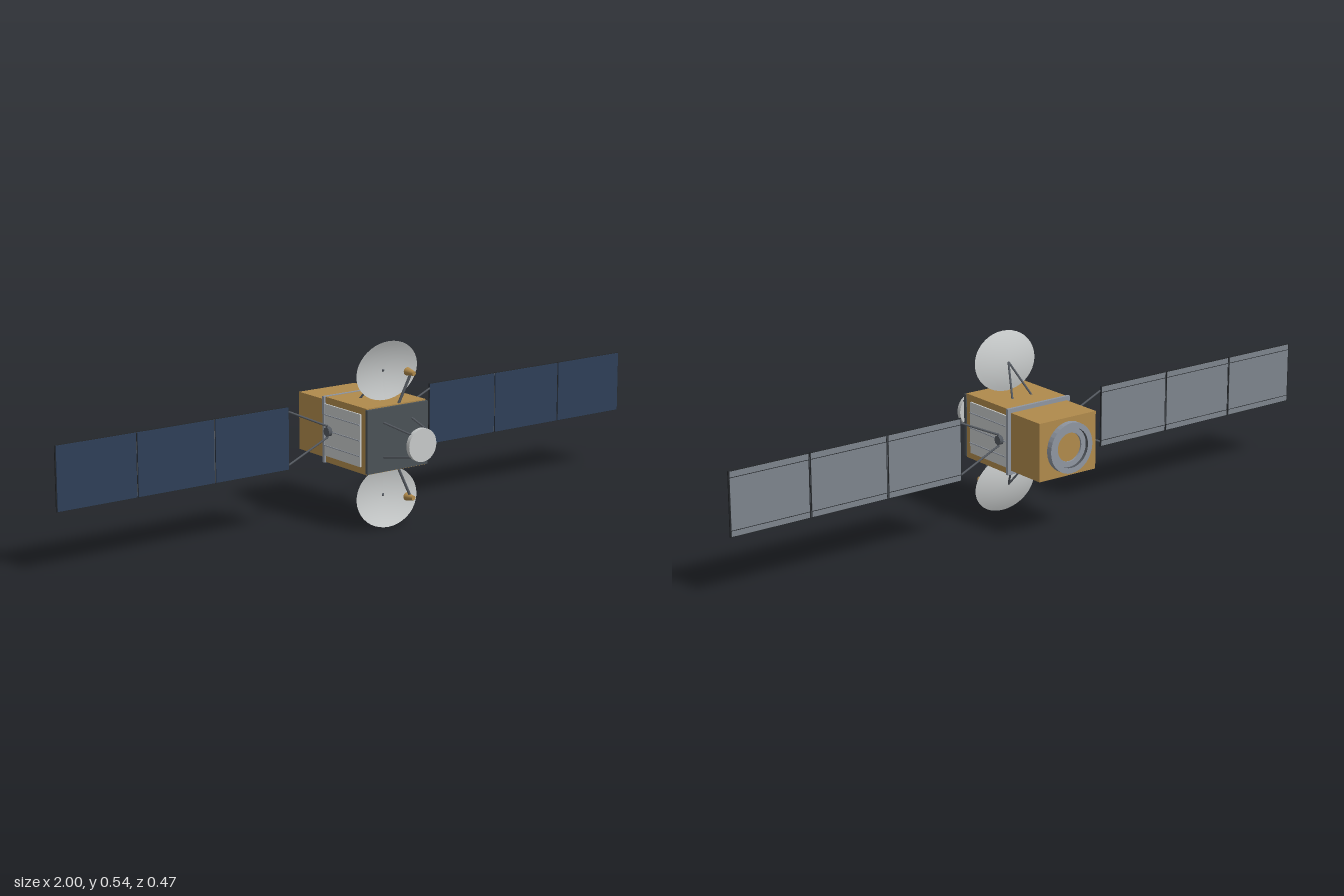
import * as THREE from 'three';

const mat = (name, color, side = THREE.FrontSide) => {
  const m = new THREE.MeshStandardMaterial({ color, side });
  m.name = name;
  return m;
};

export function createModel() {
  const gold = mat('gold foil', 0xb08a4c);
  const blue = mat('solar cell blue', 0x2e3f57);
  const backGrey = mat('panel back grey', 0x7d848c);
  const light = mat('light grey', 0xc6c9c9, THREE.DoubleSide);
  const dark = mat('dark plate grey', 0x4a5156);
  const strutGrey = mat('strut grey', 0x555a61);
  const steel = mat('steel grey', 0x8f96a1, THREE.DoubleSide);
  const black = mat('edge black', 0x24272a);

  const CY = 0.2725;
  const model = new THREE.Group();
  model.name = 'satellite';

  const add = (parent, name, geo, material, x = 0, y = 0, z = 0) => {
    const m = new THREE.Mesh(geo, material);
    m.name = name;
    m.position.set(x, y, z);
    parent.add(m);
    return m;
  };
  const box = (parent, name, material, w, h, d, x, y, z) =>
    add(parent, name, new THREE.BoxGeometry(w, h, d), material, x, y, z);
  const rod = (parent, name, a, b, r, material = strutGrey) => {
    const p = new THREE.Vector3(...a), q = new THREE.Vector3(...b);
    const dir = q.clone().sub(p);
    const m = add(parent, name, new THREE.CylinderGeometry(r, r, dir.length(), 8), material);
    m.position.copy(p).add(q).multiplyScalar(0.5);
    m.quaternion.setFromUnitVectors(new THREE.Vector3(0, 1, 0), dir.normalize());
    return m;
  };

  // Everything is laid out around the body axis, at height CY
  const craft = new THREE.Group();
  craft.name = 'craft';
  craft.position.y = CY;
  model.add(craft);

  // Body
  box(craft, 'mainBody', gold, 0.21, 0.191, 0.2, 0, 0, 0.014);
  box(craft, 'frontPlate', dark, 0.214, 0.184, 0.01, 0, 0, 0.118);
  box(craft, 'rearFrame', steel, 0.222, 0.194, 0.009, 0, 0, -0.083);
  box(craft, 'rearBody', gold, 0.2, 0.17, 0.13, 0, 0, -0.152);

  // Rear engine ring with a recessed gold centre
  const ringProfile = [[0.074, 0], [0.074, 0.018], [0.058, 0.018], [0.058, 0.008], [0.042, 0.008], [0.042, 0]];
  const ringPart = (name, from, to, material) => {
    const geo = new THREE.LatheGeometry(
      ringProfile.slice(from, to).map(p => new THREE.Vector2(...p)), 32).toNonIndexed();
    geo.computeVertexNormals();
    add(craft, name, geo, material, 0, 0, -0.217).rotation.x = -Math.PI / 2;
  };
  ringPart('engineRing', 0, 3, steel);
  ringPart('engineRingWall', 2, 4, strutGrey);
  ringPart('engineInnerRing', 3, 6, steel);
  add(craft, 'engineCentre', new THREE.CylinderGeometry(0.042, 0.042, 0.004, 32), gold, 0, 0, -0.218)
    .rotation.x = Math.PI / 2;

  // Front sensor disc on four legs
  add(craft, 'frontDisc', new THREE.CylinderGeometry(0.048, 0.048, 0.013, 32), light, 0, 0, 0.2295)
    .rotation.x = Math.PI / 2;
  for (const sx of [-1, 1]) for (const sy of [-1, 1]) {
    rod(craft, 'discLeg', [sx * 0.05, sy * 0.05, 0.122], [sx * 0.032, sy * 0.032, 0.226], 0.003);
  }

  // Sides: radiators, wing hubs, yokes and solar wings
  for (const s of [-1, 1]) {
    const side = new THREE.Group();
    side.name = s > 0 ? 'leftWing' : 'rightWing';
    craft.add(side);

    box(side, 'radiator', light, 0.006, 0.152, 0.17, s * 0.107, 0, 0.006);
    for (const y of [-0.045, 0, 0.045]) {
      box(side, 'radiatorSeam', steel, 0.003, 0.0025, 0.17, s * 0.111, y, 0.006);
    }
    add(side, 'wingHub', new THREE.CylinderGeometry(0.014, 0.014, 0.014, 8), strutGrey, s * 0.115, 0, -0.053)
      .rotation.z = Math.PI / 2;
    rod(side, 'hubBar', [s * 0.119, -0.02, -0.053], [s * 0.119, 0.02, -0.053], 0.003);
    for (const t of [-1, 1]) {
      rod(side, 'yokeArm', [s * 0.117, t * 0.016, -0.053], [s * 0.252, t * 0.077, -0.053], 0.003);
    }

    for (let i = 0; i < 3; i++) {
      const x = s * (0.375 + i * 0.25);
      box(side, 'panelCore', black, 0.247 + (i === 2 ? 0.003 : 0), 0.183, 0.004, x, 0, -0.056);
      box(side, 'solarCells', blue, 0.245, 0.18, 0.002, x, 0, -0.053);
      box(side, 'panelBack', backGrey, 0.242, 0.179, 0.001, x, 0, -0.0585);
      for (const y of [-0.073, 0.073]) {
        box(side, 'panelBackSeam', black, 0.242, 0.0015, 0.001, x, y, -0.0592);
      }
    }
    for (const x of [0.5, 0.75]) {
      box(side, 'panelHinge', strutGrey, 0.004, 0.18, 0.002, s * x, 0, -0.056);
    }
  }

  // Oval dish antennas, the lower one mirrored
  const dishProfile = [];
  for (let i = 0; i <= 8; i++) {
    const r = i / 8;
    dishProfile.push(new THREE.Vector2(r, 0.0175 * r * r));
  }
  const dishGeo = new THREE.LatheGeometry(dishProfile, 40);
  dishGeo.rotateX(Math.PI / 2);
  dishGeo.scale(0.107, 0.087, 1);
  dishGeo.computeVertexNormals();

  for (const s of [1, -1]) {
    const g = new THREE.Group();
    g.name = s > 0 ? 'upperAntenna' : 'lowerAntenna';
    g.scale.y = s;
    craft.add(g);

    add(g, 'dish', dishGeo, light, 0, 0.186, 0.0535).rotation.x = 0.115;
    for (const sx of [-1, 1]) {
      rod(g, 'dishStrut', [sx * 0.035, 0.093, -0.01], [0, 0.184, 0.054], 0.003);
    }
    rod(g, 'feedArm', [0.012, 0.092, 0.108], [0.045, 0.176, 0.121], 0.004);
    const horn = add(g, 'feedHorn', new THREE.CylinderGeometry(0.0065, 0.012, 0.032, 16), gold, 0.045, 0.1815, 0.1215);
    horn.rotation.x = Math.PI / 2 + 0.05;
  }

  return model;
}
